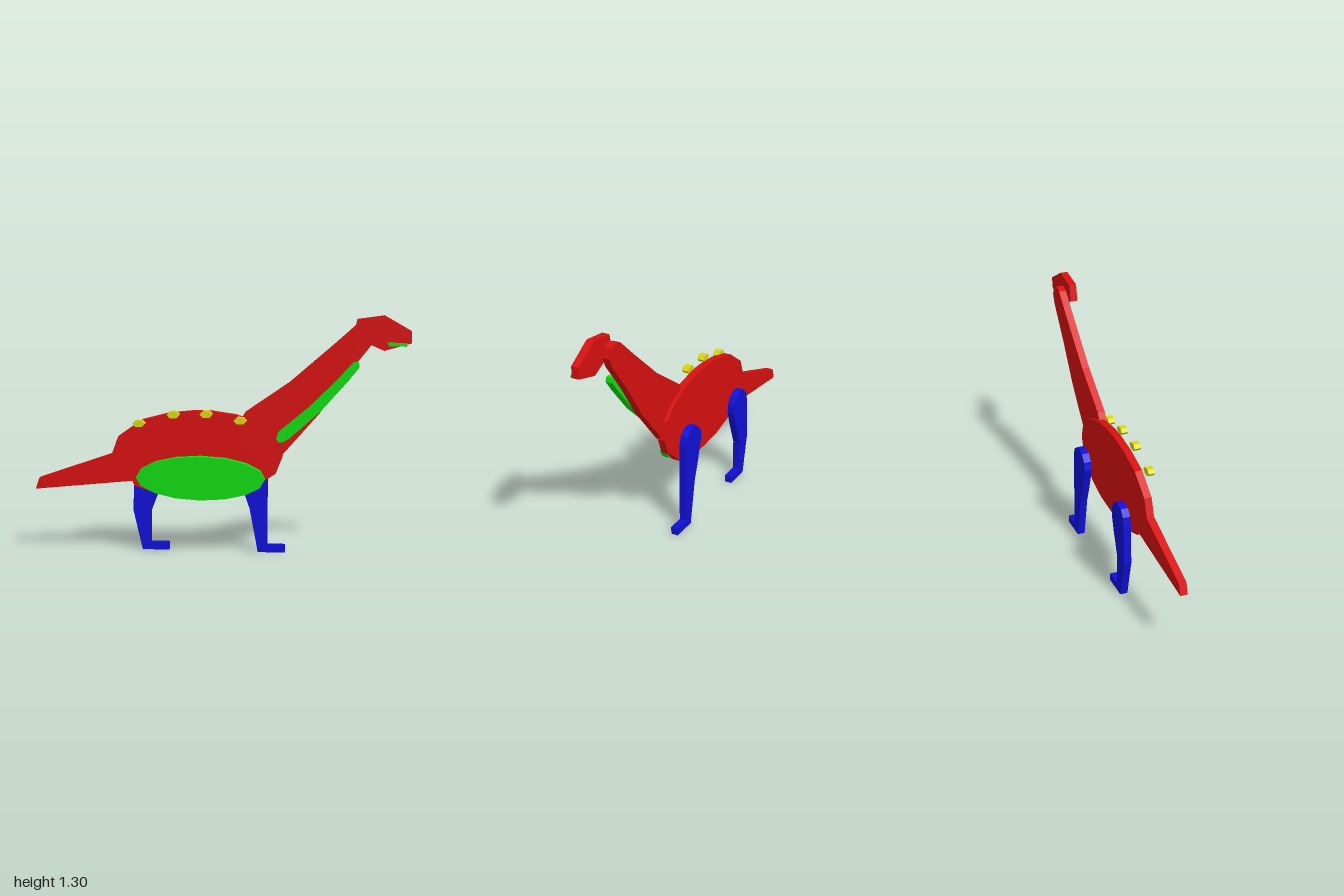
import * as THREE from 'three';

const mat = (name, color) => {
  const m = new THREE.MeshStandardMaterial({ color });
  m.name = name;
  return m;
};

// Flat cut-out: an outline in x/y, extruded from zBack to zFront
function plate(name, points, zBack, zFront, material) {
  const shape = new THREE.Shape(points.map(([x, y]) => new THREE.Vector2(x, y)));
  const geo = new THREE.ExtrudeGeometry(shape, { depth: zFront - zBack, bevelEnabled: false });
  geo.translate(0, 0, zBack);
  const mesh = new THREE.Mesh(geo, material);
  mesh.name = name;
  return mesh;
}

// Polygonal ellipse outline
function ellipse(cx, cy, rx, ry, sides) {
  return Array.from({ length: sides }, (_, i) => {
    const a = (i / sides) * Math.PI * 2;
    return [cx + rx * Math.cos(a), cy + ry * Math.sin(a)];
  });
}

export function createModel() {
  const red = mat('red', 0xd81010);
  const green = mat('green', 0x10dc10);
  const blue = mat('blue', 0x1010d8);
  const yellow = mat('yellow', 0xd8d810);
  const model = new THREE.Group();
  model.name = 'longNeckedDinosaur';

  // Body and tail in one piece
  model.add(plate('bodyAndTail', [
    [-1, 0.34], [-0.47, 0.395], [-0.46, 0.37], [-0.39, 0.345], [-0.25, 0.315], [-0.1, 0.305],
    [0.05, 0.315], [0.18, 0.35], [0.24, 0.41], [0.3, 0.45], [0.335, 0.54], [0.31, 0.64],
    [0.22, 0.71], [0.09, 0.76], [-0.05, 0.78], [-0.13, 0.78], [-0.27, 0.765], [-0.42, 0.725],
    [-0.545, 0.635], [-0.58, 0.54], [-0.98, 0.4],
  ], -0.03, 0.01, red));

  // Neck with rounded shoulder and tip
  model.add(plate('neck', [
    [0.08, 0.65], [0.1, 0.58], [0.15, 0.525], [0.23, 0.5], [0.3, 0.52], [0.335, 0.555],
    [0.53, 0.78], [0.66, 0.97], [0.8, 1.15], [0.82, 1.2], [0.8, 1.25], [0.76, 1.265],
    [0.72, 1.25], [0.61, 1.15], [0.37, 0.94], [0.14, 0.78], [0.1, 0.72],
  ], -0.01, 0.03, red));

  // Head and mouth
  model.add(plate('head', [
    [0.7, 1.19], [0.86, 1.12], [1, 1.16], [1, 1.22], [0.86, 1.3], [0.72, 1.28],
  ], 0.05, 0.09, red));
  model.add(plate('mouth', [
    [0.885, 1.145], [0.975, 1.145], [0.98, 1.16], [0.875, 1.165],
  ], 0.07, 0.11, green));

  // Belly and throat patches
  model.add(plate('belly', ellipse(-0.1, 0.422, 0.345, 0.118, 16), 0.01, 0.05, green));
  model.add(plate('throatStripe', [
    [0.305, 0.65], [0.315, 0.63], [0.34, 0.63], [0.375, 0.65], [0.54, 0.8], [0.68, 0.96],
    [0.735, 1.03], [0.73, 1.055], [0.705, 1.055], [0.62, 0.96], [0.48, 0.82], [0.315, 0.68],
  ], 0.03, 0.07, green));

  // Legs behind the body
  model.add(plate('frontLeg', [
    [0.2, 0], [0.345, 0], [0.345, 0.04], [0.25, 0.04], [0.25, 0.36], [0.25, 0.49], [0.235, 0.535],
    [0.2, 0.56], [0.165, 0.565], [0.125, 0.555], [0.09, 0.52], [0.08, 0.475], [0.12, 0.34], [0.155, 0.24],
  ], -0.11, -0.07, blue));
  model.add(plate('rearLeg', [
    [-0.43, 0], [-0.285, 0], [-0.285, 0.04], [-0.385, 0.04], [-0.385, 0.21], [-0.335, 0.34],
    [-0.31, 0.42], [-0.31, 0.47], [-0.335, 0.515], [-0.385, 0.535], [-0.43, 0.525], [-0.46, 0.49],
    [-0.47, 0.44], [-0.48, 0.22],
  ], -0.11, -0.07, blue));

  // Hexagonal studs along the back
  [[-0.425, 0.715], [-0.24, 0.765], [-0.065, 0.77], [0.115, 0.738]].forEach(([x, y], i) =>
    model.add(plate(`backStud${i + 1}`, ellipse(x, y, 0.034, 0.021, 6), 0.03, 0.067, yellow)));

  return model;
}
